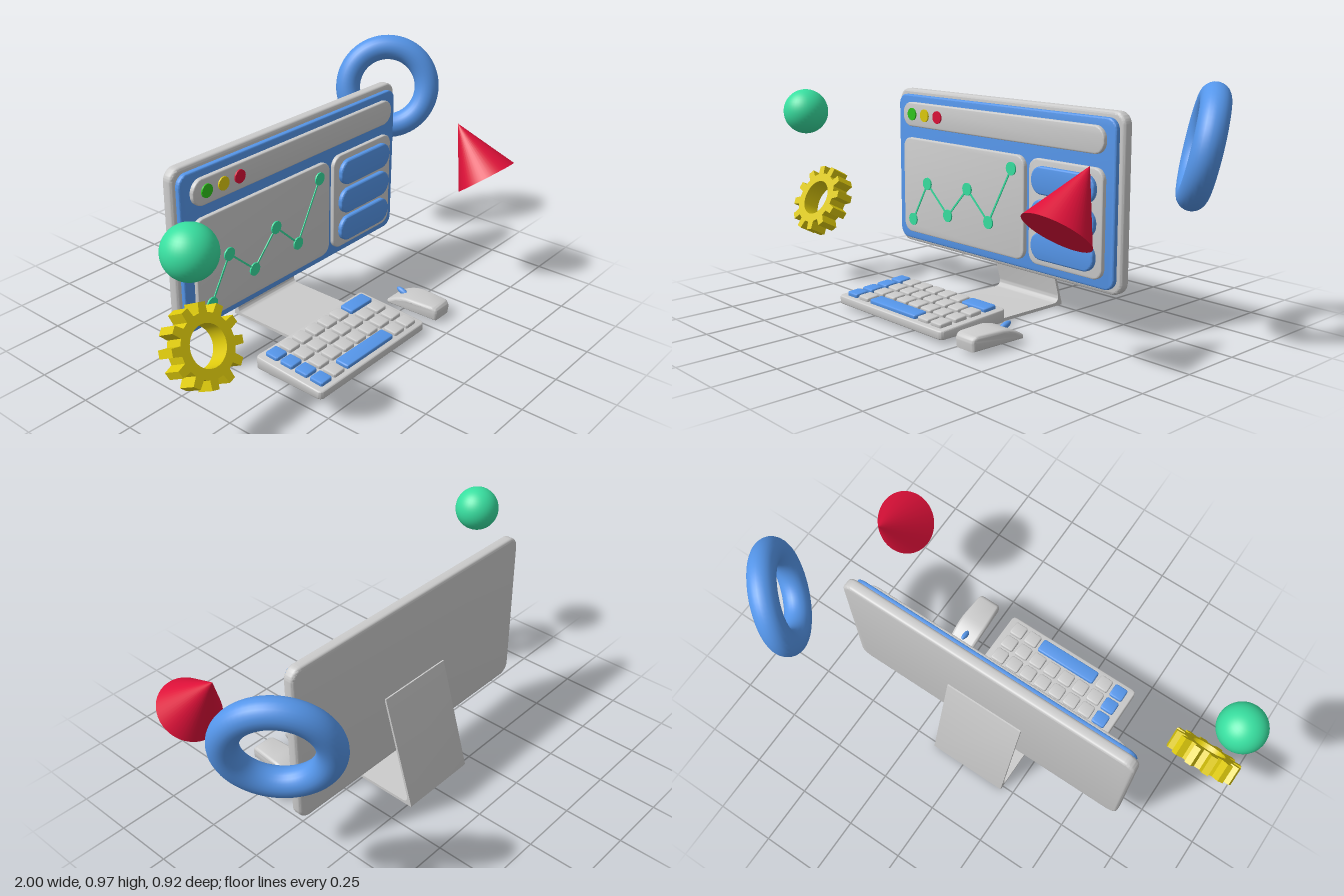
import * as THREE from 'three';
import { toCreasedNormals } from 'three/addons/utils/BufferGeometryUtils.js';

const mat = (color) => new THREE.MeshStandardMaterial({ color });
const GREY = mat(0xcccccc), BLUE = mat(0x5596ea), GREEN = mat(0x38dfa0);
const RED = mat(0xdc1038), YELLOW = mat(0xdcc80c), LIME = mat(0x2fc51c);

// Rounded slab lying in XY, bevelled front and back, from z = 0 to z = d
function slab(w, h, r, d, b) {
  const x = w / 2, y = h / 2, s = new THREE.Shape();
  s.moveTo(-x + r, -y);
  s.lineTo(x - r, -y).absarc(x - r, -y + r, r, -Math.PI / 2, 0);
  s.lineTo(x, y - r).absarc(x - r, y - r, r, 0, Math.PI / 2);
  s.lineTo(-x + r, y).absarc(-x + r, y - r, r, Math.PI / 2, Math.PI);
  s.lineTo(-x, -y + r).absarc(-x + r, -y + r, r, Math.PI, Math.PI * 1.5);
  const g = new THREE.ExtrudeGeometry(s, {
    depth: d - 2 * b, bevelSize: b, bevelThickness: b, bevelOffset: -b, bevelSegments: 3, curveSegments: 8,
  });
  return g.translate(0, 0, b);
}

// Side profile in (z, y), extruded along x and centred on it
function sideExtrude(shape, width, bevel = 0) {
  const g = new THREE.ExtrudeGeometry(shape, {
    depth: width - 2 * bevel, bevelEnabled: bevel > 0, bevelSize: bevel, bevelThickness: bevel,
    bevelOffset: -bevel, bevelSegments: 4, curveSegments: 8,
  });
  return g.translate(0, 0, -(width - 2 * bevel) / 2).rotateY(-Math.PI / 2);
}

const crease = (g) => toCreasedNormals(g, 0.7);

export function createModel() {
  const model = new THREE.Group();
  const add = (name, geo, material, x = 0, y = 0, z = 0, parent = model) => {
    const m = new THREE.Mesh(geo, material);
    m.name = name;
    m.position.set(x, y, z);
    parent.add(m);
    return m;
  };
  // Slab placed by its left, right, bottom, top, back and front limits
  const panel = (name, material, l, r, b, t, z0, z1, rad, bev) =>
    add(name, crease(slab(r - l, t - b, rad, z1 - z0, bev)), material, (l + r) / 2, (b + t) / 2, z0);

  // Monitor and its screen panels
  panel('monitorBody', GREY, -0.67, 0.624, 0.17, 0.856, -0.127, -0.08, 0.05, 0.012);
  panel('screen', BLUE, -0.65, 0.602, 0.19, 0.833, -0.085, -0.06, 0.045, 0.006);
  panel('titleBar', GREY, -0.602, 0.56, 0.697, 0.803, -0.065, -0.042, 0.05, 0.006);
  panel('chartPanel', GREY, -0.602, 0.152, 0.226, 0.647, -0.065, -0.042, 0.045, 0.006);
  panel('sidePanel', GREY, 0.178, 0.56, 0.226, 0.647, -0.065, -0.042, 0.045, 0.006);
  for (const y of [0.567, 0.437, 0.308])
    panel('sideButton', BLUE, 0.208, 0.532, y - 0.055, y + 0.055, -0.047, -0.022, 0.052, 0.007);

  // Title bar dots
  const disc = new THREE.CylinderGeometry(0.027, 0.027, 0.012, 16).rotateX(Math.PI / 2);
  [LIME, YELLOW, RED].forEach((m, i) => add('titleDot', disc, m, -0.537 + i * 0.084, 0.752, -0.042));

  // Line chart
  const points = [[-0.537, 0.286], [-0.438, 0.457], [-0.304, 0.337], [-0.179, 0.47], [-0.05, 0.35], [0.083, 0.59]];
  points.forEach(([x, y], i) => {
    add('chartPoint', disc, GREEN, x, y, -0.042);
    if (!i) return;
    const [px, py] = points[i - 1];
    const line = add('chartLine', new THREE.BoxGeometry(Math.hypot(x - px, y - py), 0.007, 0.006), GREEN,
      (x + px) / 2, (y + py) / 2, -0.041);
    line.rotation.z = Math.atan2(y - py, x - px);
  });

  // Bent sheet stand
  const bend = new THREE.Shape();
  bend.moveTo(0.08, 0);
  bend.lineTo(-0.268, 0);
  bend.lineTo(-0.268, 0.008);
  bend.lineTo(-0.133, 0.478);
  bend.lineTo(-0.124, 0.478);
  bend.lineTo(-0.246, 0.045);
  bend.quadraticCurveTo(-0.25, 0.013, -0.22, 0.013);
  bend.lineTo(0.08, 0.013);
  add('stand', crease(sideExtrude(bend, 0.35)), GREY, -0.023);

  // Keyboard, a wedge rising to the back
  const slope = 0.06, keyboard = new THREE.Group();
  keyboard.name = 'keyboard';
  keyboard.position.set(-0.128, 0.015, 0.26);
  model.add(keyboard);
  const body = slab(0.652, 0.332, 0.02, 0.044, 0.006).rotateX(-Math.PI / 2);
  const p = body.attributes.position;
  for (let i = 0; i < p.count; i++)
    p.setY(i, p.getY(i) * (1 - (slope / 0.044) * p.getZ(i)));
  add('keyboardBody', crease(body), GREY, 0, 0, 0, keyboard);

  // Keys: [start column, width in columns, blue]
  const single = (from, to) => Array.from({ length: to - from + 1 }, (_, i) => [from + i, 1, false]);
  const rows = [
    [[0, 1, true], ...single(1, 5), [6, 2, true]],
    [[0, 1, true], ...single(1, 7)],
    [[0, 1, true], ...single(1, 7)],
    [[0, 1, true], [1, 1, false], [2, 4, true], ...single(6, 7)],
  ];
  const pitch = 0.0755;
  rows.forEach((row, r) => row.forEach(([c, n, blue]) => {
    const z = (r - 1.5) * 0.0745;
    const key = slab(n * pitch - 0.013, 0.062, 0.01, 0.024, 0.006).rotateX(-Math.PI / 2);
    const m = add('key', crease(key), blue ? BLUE : GREY,
      (c + n / 2 - 4) * pitch, 0.036 - slope * z, z, keyboard);
    m.rotation.x = slope;
  }));

  // Mouse, tapered towards both ends
  const side = new THREE.Shape();
  side.moveTo(0.18, 0.014);
  side.lineTo(0.18, 0.03);
  side.quadraticCurveTo(0.24, 0.072, 0.3, 0.073);
  side.lineTo(0.4, 0.073);
  side.quadraticCurveTo(0.427, 0.07, 0.427, 0.045);
  side.lineTo(0.423, 0.014);
  const mouse = sideExtrude(side, 0.124, 0.013);
  const q = mouse.attributes.position;
  for (let i = 0; i < q.count; i++) {
    const t = (q.getZ(i) - 0.26) / 0.167;
    q.setX(i, q.getX(i) * (1 - 0.2 * t * t));
  }
  add('mouseBody', crease(mouse), GREY, 0.326);
  const wheel = add('mouseWheel', new THREE.SphereGeometry(1, 20, 12), BLUE, 0.324, 0.06, 0.222);
  wheel.scale.set(0.012, 0.013, 0.031);
  wheel.rotation.x = 0.35;

  // Floating ball
  add('ball', new THREE.SphereGeometry(0.097, 40, 24), GREEN, -0.905, 0.757, 0.263);

  // Floating ring
  const ring = add('ring', new THREE.TorusGeometry(0.18, 0.055, 24, 64), BLUE, 0.829, 0.737, -0.267);
  ring.quaternion.setFromUnitVectors(new THREE.Vector3(0, 0, 1), new THREE.Vector3(-0.76, 0.2, 0.62).normalize());

  // Floating cone
  const cone = add('cone', new THREE.ConeGeometry(0.131, 0.259, 48), RED, 0.71, 0.604, 0.279);
  cone.quaternion.setFromUnitVectors(new THREE.Vector3(0, 1, 0), new THREE.Vector3(0, 0.79, -0.61).normalize());

  // Floating gear
  const teeth = 12, outline = [];
  for (let i = 0; i < teeth; i++)
    for (const [da, r] of [[-0.29, 0.114], [-0.19, 0.15], [0.19, 0.15], [0.29, 0.114]]) {
      const a = ((i + 0.5 + da) / teeth) * Math.PI * 2;
      outline.push(new THREE.Vector2(Math.cos(a) * r, Math.sin(a) * r));
    }
  const gearShape = new THREE.Shape(outline);
  gearShape.holes.push(new THREE.Path().absarc(0, 0, 0.077, 0, Math.PI * 2, true));
  const gear = new THREE.ExtrudeGeometry(gearShape, { depth: 0.078, bevelEnabled: false, curveSegments: 20 });
  add('gear', toCreasedNormals(gear.translate(0, 0, -0.039), 0.5), YELLOW, -0.846, 0.361, 0.23).rotation.x = -0.487;

  return model;
}
